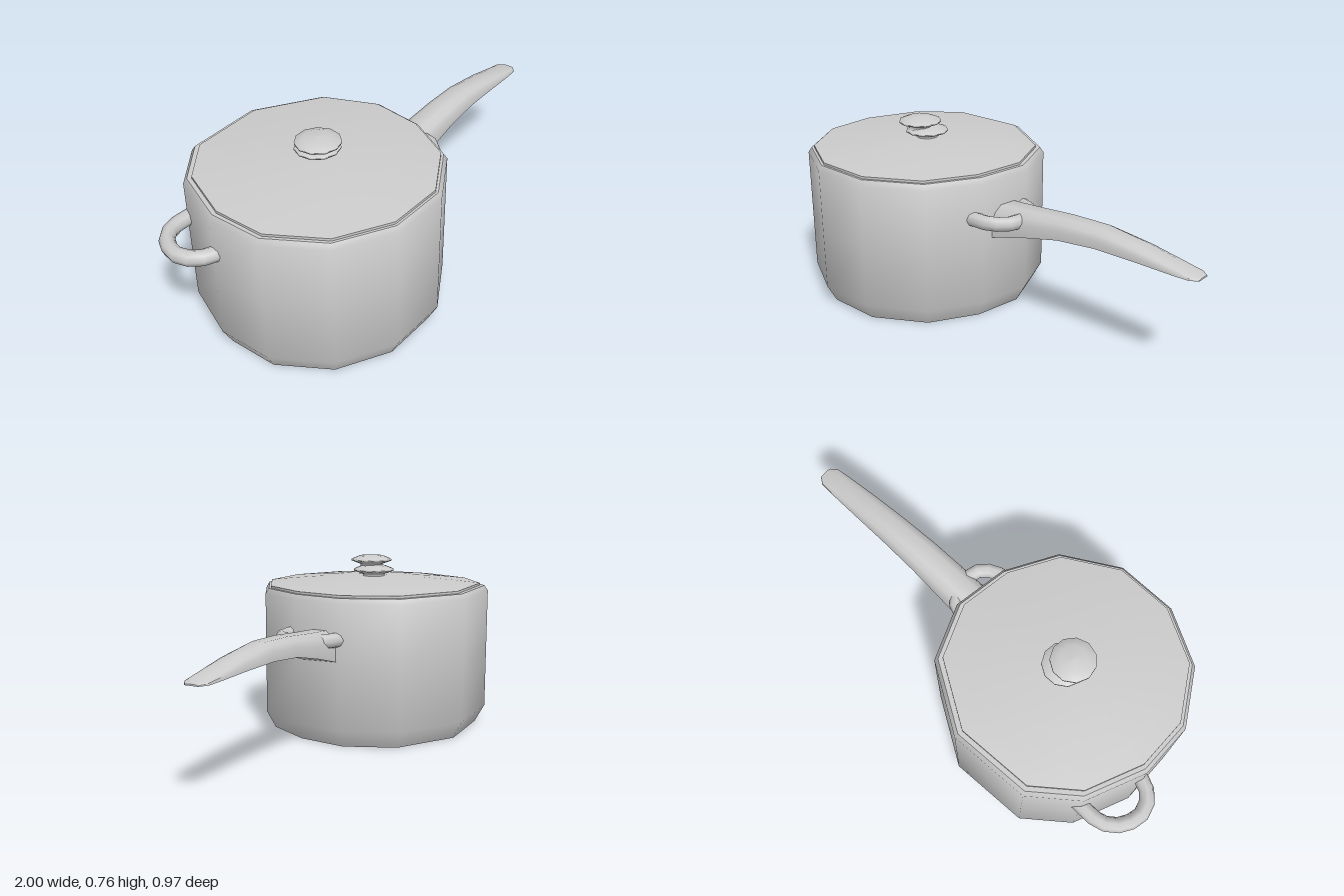
import * as THREE from 'three';
import { toCreasedNormals } from 'three/addons/utils/BufferGeometryUtils.js';

const material = new THREE.MeshStandardMaterial({ color: 0xcccccc });
const CENTRE_X = -0.4;

// Twelve slightly uneven corners of the pot wall, as [x, z]
const OUTLINE = [
  [-0.6, -0.48], [-0.26, -0.49], [0.01, -0.32], [0.105, -0.09],
  [0.07, 0.14], [-0.05, 0.35], [-0.28, 0.48], [-0.535, 0.475],
  [-0.755, 0.35], [-0.885, 0.13], [-0.885, -0.1], [-0.78, -0.34],
];

// Skin a list of equal-length rings of [x, y, z] and cap both ends
function loft(rings, crease) {
  const n = rings[0].length;
  const points = rings.flat();
  const index = [];
  for (let i = 0; i < rings.length - 1; i++) {
    for (let j = 0; j < n; j++) {
      const a = i * n + j, b = i * n + (j + 1) % n;
      index.push(a, a + n, b, b, a + n, b + n);
    }
  }
  [0, rings.length - 1].forEach((r, end) => {
    const c = points.length;
    points.push([0, 1, 2].map(k => rings[r].reduce((s, p) => s + p[k], 0) / n));
    for (let j = 0; j < n; j++) {
      const a = r * n + j, b = r * n + (j + 1) % n;
      index.push(c, end ? b : a, end ? a : b);
    }
  });
  const geometry = new THREE.BufferGeometry();
  geometry.setAttribute('position', new THREE.Float32BufferAttribute(points.flat(), 3));
  geometry.setIndex(index);
  return toCreasedNormals(geometry, crease);
}

// Pot outline scaled about its axis at height y
const outlineRing = (scale, y, dz = 0) =>
  OUTLINE.map(([x, z]) => [CENTRE_X + (x - CENTRE_X) * scale, y, z * scale + dz]);

// Arched section of the long handle: flat underside, rounded top
function handleRing([x, bottom, top, half, z]) {
  const section = [[1, 0], [0.98, 0.5], [0.8, 0.8], [0.42, 1], [-0.42, 1], [-0.8, 0.8], [-0.98, 0.5], [-1, 0]];
  return section.map(([u, v]) => [x, bottom + (top - bottom) * v, z + half * u]);
}

// Small loop grip bent through [x, z] points at a fixed height
function loopGrip(path) {
  const curve = new THREE.CatmullRomCurve3(path.map(([x, z]) => new THREE.Vector3(x, 0.457, z)));
  return new THREE.TubeGeometry(curve, 10, 0.031, 8, false);
}

export function createModel() {
  const group = new THREE.Group();
  const add = (name, geometry) => {
    const mesh = new THREE.Mesh(geometry, material);
    mesh.name = name;
    group.add(mesh);
    return mesh;
  };

  // Body with bevelled foot and rim
  add('potBody', loft([
    outlineRing(0.92, 0), outlineRing(1, 0.075), outlineRing(1, 0.34),
    outlineRing(1, 0.605), outlineRing(0.97, 0.627),
  ], 0.95));

  // Shallow domed lid
  add('lid', loft([
    outlineRing(0.94, 0.62, 0.005), outlineRing(0.94, 0.637, 0.005),
    outlineRing(0.75, 0.648), outlineRing(0.45, 0.661), outlineRing(0.15, 0.669),
  ], 0.7));

  // Knob: two offset stacked discs on short necks
  const disc = [[0.06, 0], [0.048, 0.012], [0.05, 0.022], [0.09, 0.036], [0.09, 0.044], [0.055, 0.058], [0, 0.062]]
    .map(([r, y]) => new THREE.Vector2(r, y));
  [['knobLower', -0.39, 0.656, -0.013], ['knobUpper', -0.41, 0.698, 0.008]].forEach(([name, x, y, z]) => {
    add(name, new THREE.LatheGeometry(disc, 11)).position.set(x, y, z);
  });

  // Loop grips on both sides
  add('rightGrip', loopGrip([[-0.74, -0.33], [-0.87, -0.33], [-0.935, -0.285], [-0.967, -0.2], [-0.935, -0.125], [-0.83, -0.075]]));
  add('leftGrip', loopGrip([[0.02, 0.17], [0.125, 0.165], [0.185, 0.12], [0.198, 0.045], [0.165, -0.04], [0.06, -0.085]]));

  // Long curved handle: x, underside, top, half width, z centre
  add('longHandle', loft([
    [0.03, 0.345, 0.485, 0.084, 0.012], [0.1, 0.365, 0.492, 0.082, 0.012],
    [0.25, 0.405, 0.503, 0.077, 0.012], [0.4, 0.438, 0.516, 0.072, 0.012],
    [0.57, 0.452, 0.521, 0.066, 0.011], [0.75, 0.45, 0.5, 0.06, 0.011],
    [0.9, 0.445, 0.471, 0.054, 0.011], [0.97, 0.443, 0.457, 0.049, 0.011],
    [1, 0.443, 0.449, 0.028, 0.011],
  ].map(handleRing), 0.9));

  return group;
}
